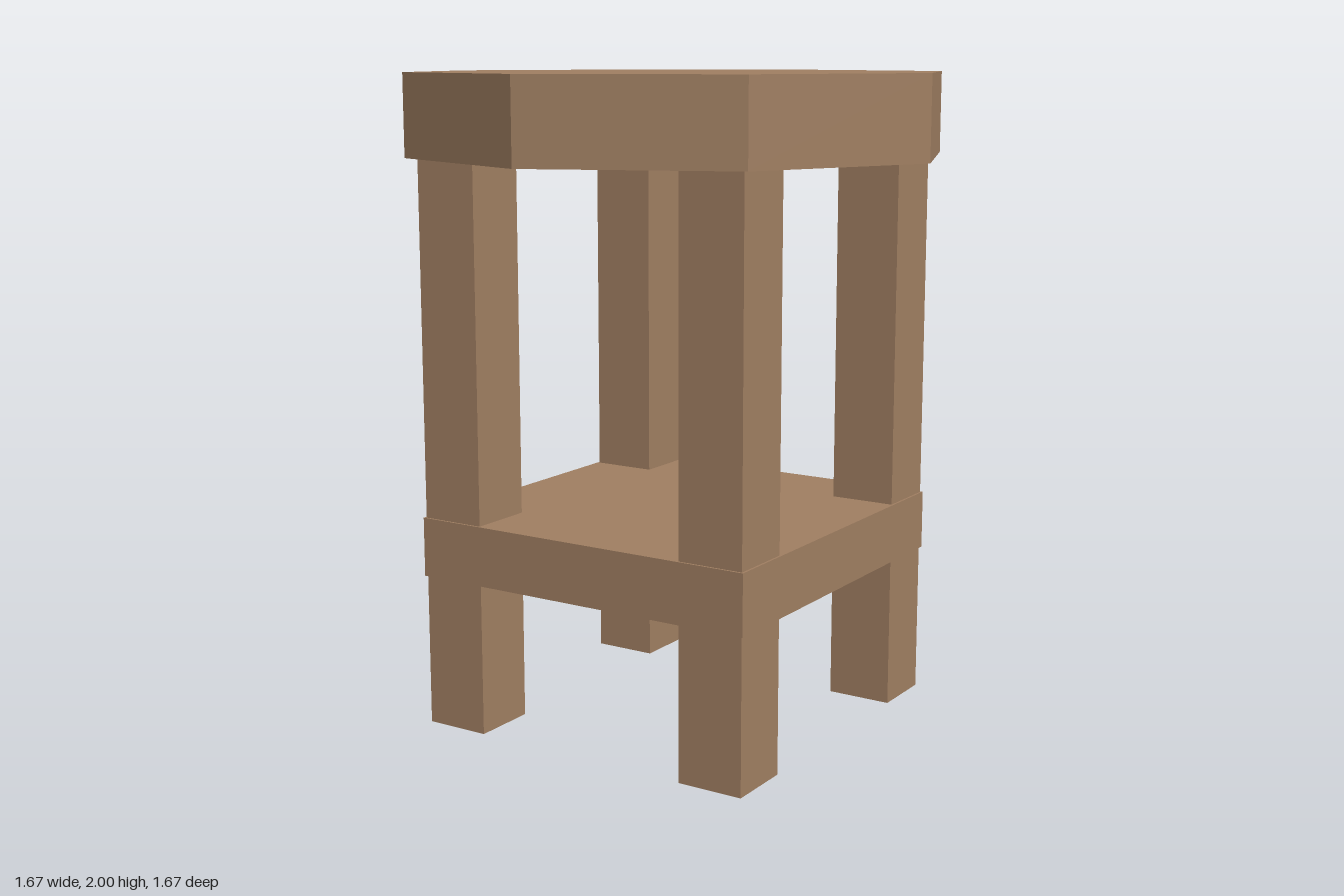
import * as THREE from 'three';

export function createModel() {
  const stool = new THREE.Group();
  stool.name = 'stool';
  const wood = new THREE.MeshStandardMaterial({ color: 0x9f7e61, flatShading: true });
  wood.name = 'brown wood';

  const add = (name, geometry, x, y, z) => {
    const mesh = new THREE.Mesh(geometry, wood);
    mesh.name = name;
    mesh.position.set(x, y, z);
    stool.add(mesh);
  };

  // Octagonal seat with corners on the axes
  const seatHeight = 0.25;
  add('seat', new THREE.CylinderGeometry(0.833, 0.833, seatHeight, 8), 0, 2 - seatHeight / 2, 0);

  // Four square legs, reaching the underside of the seat
  const legHeight = 2 - seatHeight;
  const legGeometry = new THREE.BoxGeometry(0.207, legHeight, 0.207);
  for (const [sz, end] of [[1, 'front'], [-1, 'back']]) {
    for (const [sx, side] of [[1, 'Left'], [-1, 'Right']]) {
      add(`${end}${side}Leg`, legGeometry, sx * 0.459, legHeight / 2, sz * 0.459);
    }
  }

  // Solid shelf, slightly proud of the legs
  add('shelf', new THREE.BoxGeometry(1.138, 0.184, 1.138), 0, 0.564, 0);

  return stool;
}
